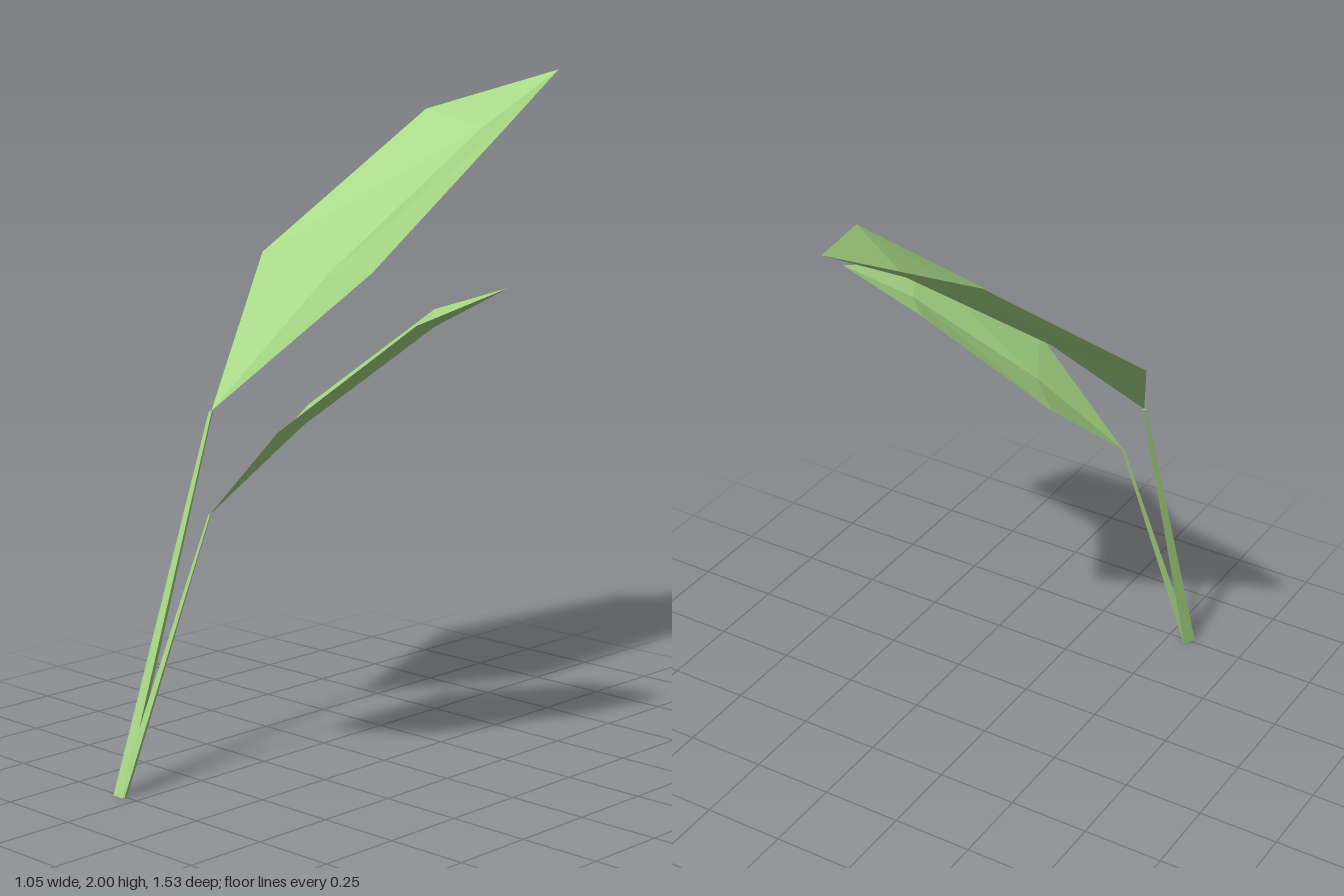
import * as THREE from 'three';

const leafGreen = new THREE.MeshStandardMaterial({ color: 0xa6d785, side: THREE.DoubleSide, flatShading: true });
leafGreen.name = 'leaf green';

// Folded leaf: base and tip points, plus two cross-sections of [left, spine, right]
function makeLeaf(name, base, sections, tip) {
  const points = [];
  const tri = (a, b, c) => points.push(...a, ...b, ...c);
  const [low, high] = sections;
  for (let i = 0; i < 2; i++) {
    tri(base, low[i + 1], low[i]);
    tri(low[i], low[i + 1], high[i + 1]);
    tri(low[i], high[i + 1], high[i]);
    tri(high[i], high[i + 1], tip);
  }
  const geometry = new THREE.BufferGeometry();
  geometry.setAttribute('position', new THREE.Float32BufferAttribute(points, 3));
  geometry.computeVertexNormals();
  const mesh = new THREE.Mesh(geometry, leafGreen);
  mesh.name = name;
  return mesh;
}

// Three-sided tapering stem, sheared so that both ends stay level
function makeStem(name, foot, top, footRadius, topRadius) {
  const height = top[1] - foot[1];
  const geometry = new THREE.CylinderGeometry(topRadius, footRadius, height, 3, 1, false, Math.PI);
  geometry.translate(0, height / 2, 0);
  const pos = geometry.attributes.position;
  for (let i = 0; i < pos.count; i++) {
    const t = pos.getY(i) / height;
    pos.setX(i, pos.getX(i) + foot[0] + (top[0] - foot[0]) * t);
    pos.setZ(i, pos.getZ(i) + foot[2] + (top[2] - foot[2]) * t);
  }
  geometry.computeVertexNormals();
  const mesh = new THREE.Mesh(geometry, leafGreen);
  mesh.name = name;
  return mesh;
}

export function createModel() {
  const plant = new THREE.Group();
  plant.name = 'plant';

  // Tall leaf, leaning back
  const tallBase = [-0.31, 1.06, 0.39];
  plant.add(makeLeaf('tallLeaf', tallBase, [
    [[-0.53, 1.465, -0.03], [-0.21, 1.43, 0.01], [0.085, 1.465, 0.14]],
    [[-0.315, 1.88, -0.52], [-0.07, 1.835, -0.5], [0.155, 1.88, -0.39]],
  ], [0, 2, -0.77]));
  plant.add(makeStem('tallStem', [-0.313, 0, 0.75], tallBase, 0.024, 0.007));

  // Short leaf, leaning to the side
  const shortBase = [-0.17, 0.8, 0.53];
  plant.add(makeLeaf('shortLeaf', shortBase, [
    [[-0.1, 1.08, 0.21], [0.05, 1.06, 0.38], [0.155, 1.08, 0.58]],
    [[0.24, 1.37, 0.05], [0.355, 1.345, 0.175], [0.43, 1.37, 0.33]],
  ], [0.52, 1.455, 0.06]));
  plant.add(makeStem('shortStem', [-0.306, 0, 0.75], shortBase, 0.017, 0.004));

  return plant;
}
